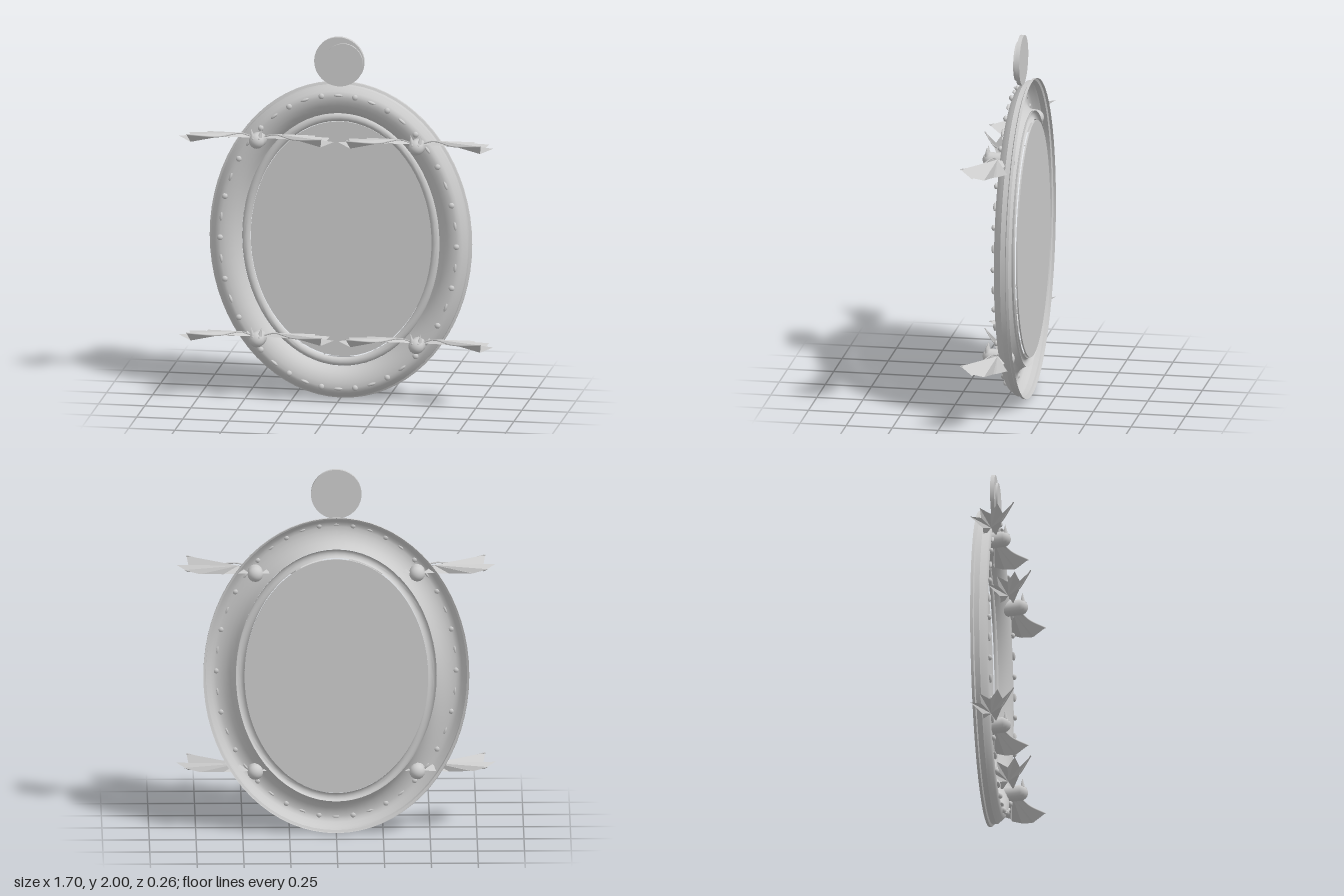
import * as THREE from 'three';
import { toCreasedNormals } from 'three/addons/utils/BufferGeometryUtils.js';

const RX = 0.71, RY = 0.87, CY = 0.875;

// Sweeps a profile of [inset, z] points around the oval.
function ovalSweep(profile, segments) {
  const pos = [], index = [], rows = profile.length;
  for (let i = 0; i < segments; i++) {
    const a = (i / segments) * Math.PI * 2;
    for (const [d, z] of profile) pos.push((RX - d) * Math.cos(a), CY + (RY - d) * Math.sin(a), z);
    for (let j = 0; j < rows - 1; j++) {
      const p = i * rows + j, q = ((i + 1) % segments) * rows + j;
      index.push(p, q, p + 1, q, q + 1, p + 1);
    }
  }
  const g = new THREE.BufferGeometry();
  g.setAttribute('position', new THREE.Float32BufferAttribute(pos, 3));
  g.setIndex(index);
  return toCreasedNormals(g, 0.6);
}

// Pleated wing membrane: a fan from the wrist through finger tips and notches.
function wingGeometry() {
  const hub = [0.09, 0.03, -0.03];
  const rim = [
    [0.03, 0.01, -0.01], [0.2, 0.022, 0.045], [0.365, 0.045, 0.12], [0.352, -0.01, 0.06],
    [0.42, 0.017, 0.04], [0.355, -0.012, -0.005], [0.38, 0.014, -0.06],
    [0.3, -0.008, -0.06], [0.29, 0.008, -0.12], [0.17, -0.008, -0.065], [0.03, 0, -0.075],
  ];
  const pos = [];
  for (let i = 0; i < rim.length - 1; i++) pos.push(...hub, ...rim[i], ...rim[i + 1]);
  const g = new THREE.BufferGeometry();
  g.setAttribute('position', new THREE.Float32BufferAttribute(pos, 3));
  g.computeVertexNormals();
  return g;
}

export function createModel() {
  const model = new THREE.Group();
  const grey = new THREE.MeshStandardMaterial({ color: 0xcccccc, side: THREE.DoubleSide });
  grey.name = 'plain grey';

  const add = (parent, name, geometry, x = 0, y = 0, z = 0) => {
    const m = new THREE.Mesh(geometry, grey);
    m.name = name;
    m.position.set(x, y, z);
    parent.add(m);
    return m;
  };

  // Hollow frame shell, open at the back
  add(model, 'ovalFrame', ovalSweep([
    [0, -0.122], [0, -0.108], [0.012, -0.102], [0.014, -0.075], [0.022, -0.066],
    [0.04, -0.043], [0.055, -0.034], [0.07, -0.032], [0.095, -0.036], [0.12, -0.046],
    [0.143, -0.062], [0.162, -0.084], [0.175, -0.108],
  ], 72));

  // Rounded inner moulding
  const moulding = [];
  for (let i = 0; i <= 8; i++) {
    const a = (i / 8) * Math.PI;
    moulding.push([0.197 - 0.023 * Math.cos(a), -0.118 + 0.02 * Math.sin(a)]);
  }
  add(model, 'innerMoulding', ovalSweep(moulding, 72));

  // Mirror plate
  const mirror = new THREE.CylinderGeometry(1, 1, 0.008, 72).rotateX(Math.PI / 2);
  mirror.scale(RX - 0.22, RY - 0.225, 1);
  add(model, 'mirror', mirror, 0, CY, -0.128);

  // Alternating round and long beads
  const beads = new THREE.Group();
  beads.name = 'beads';
  model.add(beads);
  const beadGeometry = new THREE.SphereGeometry(1, 12, 8);
  for (let i = 0; i < 44; i++) {
    const a = Math.PI / 2 + (i / 44) * Math.PI * 2;
    const rx = RX - 0.07, ry = RY - 0.063;
    const long = i % 2 === 0;
    const bead = add(beads, long ? 'longBead' : 'roundBead', beadGeometry,
      rx * Math.cos(a), CY + 0.005 + ry * Math.sin(a), -0.027);
    bead.scale.set(long ? 0.024 : 0.016, long ? 0.008 : 0.016, long ? 0.01 : 0.013);
    bead.rotation.z = Math.atan2(ry * Math.cos(a), -rx * Math.sin(a));
  }

  // Medallion on top
  const disc = (r, depth) => new THREE.CylinderGeometry(r, r, depth, 48).rotateX(Math.PI / 2);
  add(model, 'medallion', disc(0.135, 0.022), 0, 1.865, -0.066);
  add(model, 'medallionFace', disc(0.103, 0.014), 0.027, 1.865, -0.05);

  // Four bats
  const wing = wingGeometry();
  const arm = new THREE.TubeGeometry(new THREE.CatmullRomCurve3([
    new THREE.Vector3(0.02, 0.012, -0.01), new THREE.Vector3(0.09, 0.035, 0),
    new THREE.Vector3(0.2, 0.022, 0.045), new THREE.Vector3(0.365, 0.045, 0.12),
  ]), 12, 0.004, 5);
  const body = new THREE.CapsuleGeometry(0.042, 0.09, 8, 16).rotateX(Math.PI / 2 - 0.1);
  const ear = new THREE.ConeGeometry(0.013, 0.05, 6);
  const eye = new THREE.SphereGeometry(0.006, 8, 6);
  for (const y of [0.337, 1.43]) {
    for (const x of [-0.432, 0.432]) {
      const bat = new THREE.Group();
      bat.name = 'bat';
      bat.position.set(x, y, 0);
      model.add(bat);
      add(bat, 'batBody', body, 0, -0.003, -0.02);
      for (const s of [-1, 1]) {
        const half = new THREE.Group();
        half.name = s > 0 ? 'leftWing' : 'rightWing';
        half.scale.x = s;
        bat.add(half);
        add(half, 'membrane', wing);
        add(half, 'wingArm', arm);
        add(bat, 'ear', ear, s * 0.024, 0.05, 0.04).rotation.z = -s * 0.2;
        add(bat, 'eye', eye, s * 0.016, 0.02, 0.055);
      }
    }
  }
  return model;
}
